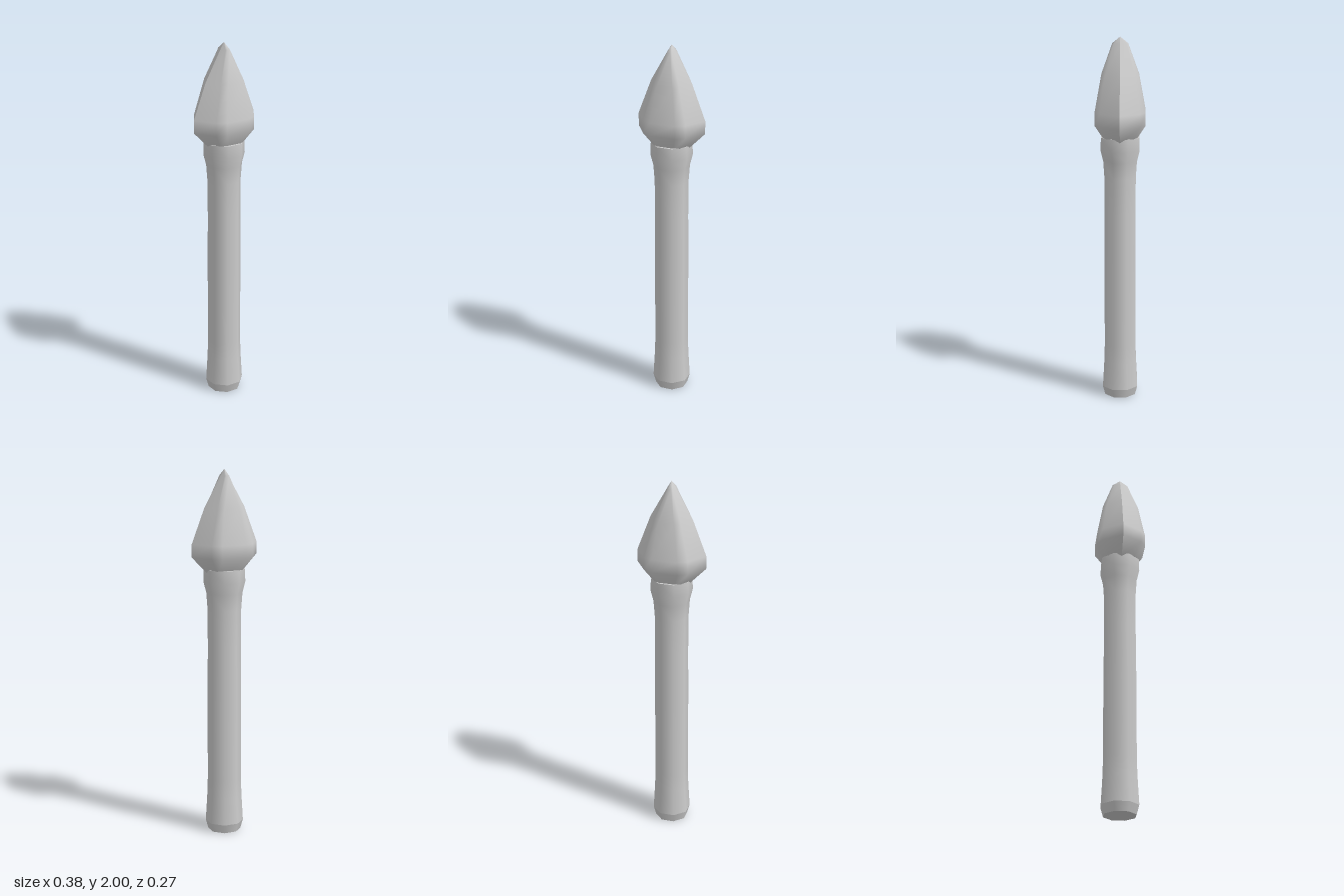
import * as THREE from 'three';

const material = new THREE.MeshStandardMaterial({ color: 0xcccccc });

// Eight-sided turned part; radii are measured across the flats
function turned(name, profile) {
  const k = 1 / Math.cos(Math.PI / 8);
  const points = profile.map(([r, y]) => new THREE.Vector2(r * k, y));
  const mesh = new THREE.Mesh(new THREE.LatheGeometry(points, 8, Math.PI / 8), material);
  mesh.name = name;
  return mesh;
}

// One smooth half of the blade, swept through levels of [y, half width, half depth]
function bladeHalf(name, levels) {
  const section = [[1, 0], [0.63, 0.79], [0.37, 1], [-0.37, 1], [-0.63, 0.79], [-1, 0]];
  const n = section.length;
  const positions = [];
  const index = [];
  levels.forEach(([y, w, d], row) => {
    for (const [sx, sz] of section) positions.push(sx * w, y, sz * d);
    if (row === 0) return;
    for (let i = 0; i < n - 1; i++) {
      const a = (row - 1) * n + i;
      const b = row * n + i;
      index.push(a, b, a + 1, a + 1, b, b + 1);
    }
  });
  const geometry = new THREE.BufferGeometry();
  geometry.setAttribute('position', new THREE.Float32BufferAttribute(positions, 3));
  geometry.setIndex(index);
  geometry.computeVertexNormals();
  const mesh = new THREE.Mesh(geometry, material);
  mesh.name = name;
  return mesh;
}

export function createModel() {
  const group = new THREE.Group();
  group.name = 'spear';

  // Shaft with a bevelled foot and a flared collar
  group.add(
    turned('shaftEnd', [[0, 0], [0.083, 0]]),
    turned('shaftFoot', [[0.083, 0], [0.096, 0.05]]),
    turned('shaft', [
      [0.096, 0.05], [0.088, 0.2], [0.085, 0.3], [0.085, 0.75], [0.083, 1.05],
      [0.084, 1.25], [0.09, 1.34], [0.104, 1.4], [0.102, 1.47],
    ]),
    turned('collarTop', [[0.102, 1.47], [0, 1.48]]),
  );

  // Blade: two mirrored halves meeting in sharp side edges
  const levels = [
    [1.45, 0.1, 0.08], [1.54, 0.188, 0.135], [1.61, 0.188, 0.134],
    [1.8, 0.115, 0.1], [1.965, 0.022, 0.042], [2, 0, 0],
  ];
  const front = bladeHalf('bladeFront', levels);
  const back = bladeHalf('bladeBack', levels);
  back.rotation.y = Math.PI;
  group.add(front, back);

  return group;
}
